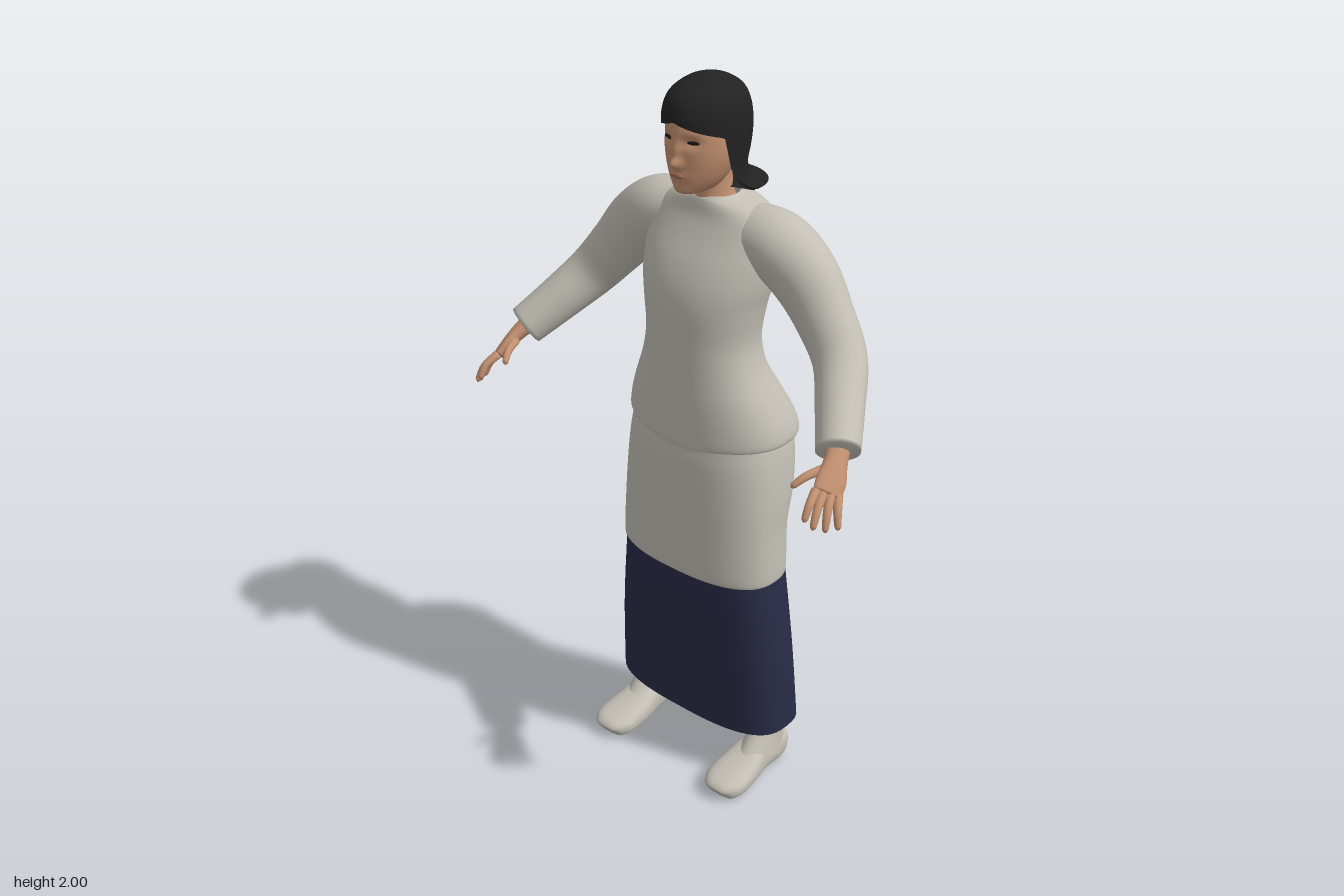
import * as THREE from 'three';

const mat = (name, color, side = THREE.FrontSide) => {
  const m = new THREE.MeshStandardMaterial({ color, side });
  m.name = name;
  return m;
};

// Smooth interpolation through rows of numbers, t counted in rows
function at(rows, t) {
  const n = rows.length - 1, i = Math.min(Math.floor(t), n - 1), f = t - i;
  const [a, b, c, d] = [Math.max(i - 1, 0), i, i + 1, Math.min(i + 2, n)].map(k => rows[k]);
  return b.map((_, k) => b[k] + 0.5 * f * (c[k] - a[k]
    + f * (2 * a[k] - 5 * b[k] + 4 * c[k] - d[k] + f * (3 * (b[k] - c[k]) + d[k] - a[k]))));
}

// Grid surface closed around its columns
function surface(nr, nc, fn) {
  const pos = [], idx = [];
  for (let r = 0; r <= nr; r++) {
    for (let c = 0; c < nc; c++) {
      pos.push(...fn(r / nr, (c / nc) * Math.PI * 2));
      if (r === nr) continue;
      const a = r * nc + c, b = r * nc + (c + 1) % nc;
      idx.push(a, a + nc, b, b, a + nc, b + nc);
    }
  }
  const g = new THREE.BufferGeometry();
  g.setAttribute('position', new THREE.Float32BufferAttribute(pos, 3));
  g.setIndex(idx);
  g.computeVertexNormals();
  return g;
}

const pow = (v, n) => Math.sign(v) * Math.abs(v) ** (2 / n);
const bump = (x, y, cx, cy, sx, sy) => Math.exp(-(((x - cx) / sx) ** 2) - ((y - cy) / sy) ** 2);

// Upright loft, rows from top to bottom: [y, half width, front z, back z]
function loft(rows, { n = 2, nr = 40, nc = 64, cx = 0, end = () => rows.length - 1, shape = p => p } = {}) {
  return surface(nr, nc, (u, th) => {
    const [y, rx, zf, zb] = at(rows, u * end(th));
    return shape([cx + rx * pow(Math.sin(th), n), y,
      (zf + zb) / 2 + (zf - zb) / 2 * pow(Math.cos(th), n)]);
  });
}

// Sweep through [x, y, z, radius along side, radius across], closed at both ends
function sweep(pts, side, { n = 2, nr = 30, nc = 24, shape = p => p } = {}) {
  const last = pts.length - 1;
  return surface(nr + 2, nc, (u, th) => {
    const k = Math.round(u * (nr + 2));
    const t = Math.min(Math.max(k - 1, 0), nr) / nr * last;
    const p = at(pts, t), q0 = at(pts, Math.max(t - 0.05, 0)), q1 = at(pts, Math.min(t + 0.05, last));
    const T = new THREE.Vector3(q1[0] - q0[0], q1[1] - q0[1], q1[2] - q0[2]).normalize();
    const S = new THREE.Vector3(...side).addScaledVector(T, -T.dot(new THREE.Vector3(...side))).normalize();
    const U = S.clone().cross(T);
    const cap = k === 0 || k === nr + 2 ? 0 : 1;
    const a = p[3] * cap * pow(Math.cos(th), n), b = p[4] * cap * pow(Math.sin(th), n);
    return shape([p[0] + S.x * a + U.x * b, p[1] + S.y * a + U.y * b, p[2] + S.z * a + U.z * b]);
  });
}

export function createModel() {
  const model = new THREE.Group();
  const cloth = mat('pale cloth', 0xc3bfb5, THREE.DoubleSide);
  const navy = mat('navy cloth', 0x292b47, THREE.DoubleSide);
  const skin = mat('skin', 0xc29070);
  const black = mat('black hair', 0x222222, THREE.DoubleSide);
  const lash = mat('dark lashes', 0x17120f);
  const lip = mat('lips', 0xa56e5a);
  const add = (name, geo, material, parent = model) => {
    const m = new THREE.Mesh(geo, material);
    m.name = name;
    parent.add(m);
    return m;
  };

  // Two soft lobes at the back of the hips, and a hem that dips in front
  const hips = ([x, y, z]) => {
    if (z < -0.08) z += 0.022 * bump(x, y, 0, 1.04, 0.028, 0.09);
    else y -= 0.02 * bump(x, y, 0, 1.05, 0.13, 0.03);
    return [x, y, z];
  };
  add('blouse', loft([
    [1.70, 0.066, -0.028, -0.14], [1.692, 0.082, -0.022, -0.16], [1.678, 0.125, -0.018, -0.18],
    [1.645, 0.172, -0.01, -0.192], [1.6, 0.188, 0.012, -0.2], [1.54, 0.188, 0.045, -0.2],
    [1.48, 0.18, 0.068, -0.19], [1.42, 0.167, 0.078, -0.178], [1.33, 0.157, 0.078, -0.165],
    [1.25, 0.174, 0.078, -0.172], [1.17, 0.21, 0.08, -0.21], [1.1, 0.238, 0.08, -0.245],
    [1.058, 0.243, 0.078, -0.253], [1.062, 0.215, 0.06, -0.225],
  ], { n: 2.25, nr: 65, shape: hips }), cloth);
  add('tunicSkirt', loft([
    [1.08, 0.22, 0.068, -0.235], [1.0, 0.236, 0.076, -0.236], [0.9, 0.245, 0.08, -0.22],
    [0.8, 0.247, 0.082, -0.19], [0.66, 0.252, 0.085, -0.182], [0.664, 0.24, 0.07, -0.165],
  ], { n: 2.5, shape: hips }), cloth);
  add('longSkirt', loft([
    [0.74, 0.238, 0.066, -0.165], [0.64, 0.247, 0.071, -0.176],
    [0.4, 0.273, 0.064, -0.187], [0.16, 0.286, 0.055, -0.203],
  ], { n: 2.8, nr: 16 }), navy);

  // Neck and head, with the face modelled by small bumps
  add('neck', loft([
    [1.79, 0.05, -0.02, -0.125], [1.72, 0.052, -0.024, -0.125], [1.66, 0.065, -0.02, -0.14],
  ], { nr: 8, nc: 32 }), skin);
  const face = ([x, y, z]) => {
    if (z > -0.02) {
      const ax = Math.abs(x);
      z += 0.022 * bump(x, y, 0, 1.803, 0.014, 0.014) + 0.01 * bump(x, y, 0, 1.835, 0.012, 0.025)
        - 0.009 * bump(ax, y, 0.036, 1.857, 0.02, 0.014) + 0.006 * bump(x, y, 0, 1.772, 0.025, 0.012)
        + 0.004 * bump(x, y, 0, 1.735, 0.025, 0.012);
    }
    return [x, y, z];
  };
  add('head', loft([
    [1.955, 0, -0.05, -0.05], [1.93, 0.06, 0.035, -0.13], [1.89, 0.085, 0.057, -0.15],
    [1.85, 0.091, 0.06, -0.155], [1.81, 0.088, 0.058, -0.14], [1.77, 0.074, 0.055, -0.115],
    [1.74, 0.055, 0.051, -0.095], [1.722, 0.034, 0.042, -0.075], [1.715, 0, -0.01, -0.01],
  ], { nr: 64, nc: 96, shape: face }), skin);
  const dot = new THREE.SphereGeometry(1, 20, 12);
  const mouth = add('mouth', dot, lip);
  mouth.position.set(0, 1.772, 0.0595);
  mouth.scale.set(0.02, 0.007, 0.0045);

  // Smooth hair: short over the brow, long at the sides and back, flared at the ends
  const hairEnd = th => {
    const a = Math.abs(th > Math.PI ? th - 2 * Math.PI : th) * 180 / Math.PI;
    return 3.3 + 0.7 * Math.min(a / 66, 1) + 5 * THREE.MathUtils.smoothstep(a, 66, 88);
  };
  add('hair', loft([
    [2.0, 0, -0.055, -0.055], [1.988, 0.045, 0.0, -0.11], [1.96, 0.08, 0.05, -0.155],
    [1.92, 0.097, 0.068, -0.174], [1.87, 0.102, 0.068, -0.178], [1.82, 0.1, 0.06, -0.17],
    [1.78, 0.1, 0.04, -0.152], [1.745, 0.106, 0.02, -0.162], [1.72, 0.12, 0.0, -0.218],
    [1.722, 0.06, -0.03, -0.11],
  ], { nr: 48, nc: 96, end: hairEnd }), black);

  for (const s of [1, -1]) {
    const label = s > 0 ? 'left' : 'right';
    const flip = pts => pts.map(([x, ...rest]) => [x * s, ...rest]);

    const eye = add(label + 'Eye', dot, lash);
    eye.position.set(s * 0.037, 1.857, 0.0425);
    eye.rotation.y = s * 0.3;
    eye.scale.set(0.018, 0.0048, 0.0045);

    // Sleeve
    const arm = new THREE.Group();
    arm.name = label + 'Arm';
    model.add(arm);
    add('sleeve', sweep(flip([
      [0.1, 1.6, -0.105, 0.08, 0.08], [0.19, 1.587, -0.105, 0.088, 0.09],
      [0.27, 1.53, -0.105, 0.08, 0.09], [0.34, 1.45, -0.095, 0.07, 0.079],
      [0.41, 1.365, -0.07, 0.066, 0.07], [0.47, 1.288, 0.005, 0.06, 0.062],
      [0.525, 1.218, 0.083, 0.054, 0.056],
    ]), [0, 0, 1], { nr: 40, nc: 36 }), cloth, arm);

    // Hand: flat palm, four fingers and a thumb
    const across = [0.57 * s, -0.35, -0.74];
    add('palm', sweep(flip([
      [0.518, 1.228, 0.07, 0.03, 0.026], [0.535, 1.2, 0.105, 0.031, 0.021],
      [0.547, 1.172, 0.135, 0.039, 0.018], [0.555, 1.148, 0.163, 0.037, 0.014],
    ]), across, { nr: 14 }), skin, arm);
    const fingers = [
      [[0.537, 1.162, 0.182], [0.55, 1.11, 0.243]],
      [[0.55, 1.154, 0.172], [0.57, 1.092, 0.235]],
      [[0.562, 1.147, 0.157], [0.588, 1.08, 0.21]],
      [[0.572, 1.141, 0.14], [0.602, 1.077, 0.178]],
      [[0.52, 1.19, 0.13], [0.484, 1.163, 0.208]],
    ];
    fingers.forEach(([a, b], i) => {
      const mid = a.map((v, k) => (v + b[k]) / 2 + [0.003 * (i < 4), 0.006, 0.006][k]);
      add(i < 4 ? 'finger' : 'thumb', sweep(flip([
        [...a, 0.012, 0.012], [...mid, 0.0105, 0.0105],
        [...a.map((v, k) => v + (b[k] - v) * 0.92), 0.008, 0.008], [...b, 0.003, 0.003],
      ]), across, { nr: 12, nc: 12 }), skin, arm);
    });

    // Shoe: flat-soled foot with a soft open ankle
    const shoe = new THREE.Group();
    shoe.name = label + 'Shoe';
    model.add(shoe);
    add('foot', sweep(flip([
      [0.21, 0.022, 0.145, 0.03, 0.018], [0.21, 0.027, 0.135, 0.048, 0.027],
      [0.21, 0.031, 0.1, 0.063, 0.032], [0.207, 0.04, 0.03, 0.06, 0.041],
      [0.207, 0.05, -0.03, 0.05, 0.051], [0.208, 0.05, -0.09, 0.05, 0.051],
      [0.21, 0.043, -0.128, 0.041, 0.044], [0.21, 0.04, -0.139, 0.025, 0.034],
    ]), [1, 0, 0], { n: 2.6, nr: 36, nc: 32, shape: ([x, y, z]) => [x, Math.max(y, 0), z] }), cloth, shoe);
    add('ankle', loft([
      [0.11, 0.0, -0.08, -0.08], [0.115, 0.033, -0.042, -0.122], [0.13, 0.04, -0.032, -0.13],
      [0.1, 0.043, -0.008, -0.134], [0.05, 0.05, 0.03, -0.136],
    ], { cx: s * 0.213, nr: 20, nc: 32, shape: ([x, y, z]) => [x, y + Math.max(0, (z + 0.075) * 0.3), z] }), cloth, shoe);
  }
  return model;
}
